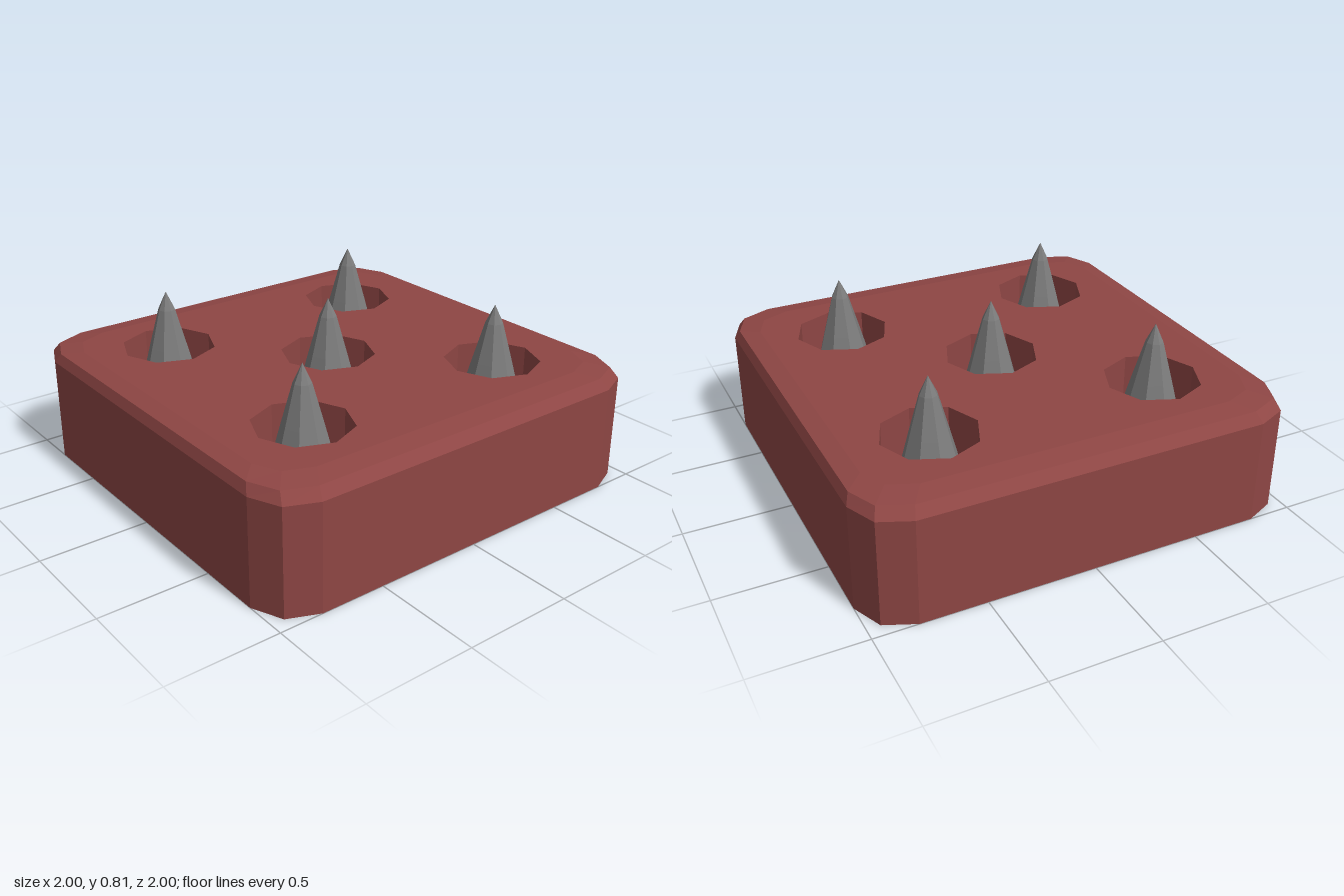
import * as THREE from 'three';

const HOLE_R = 0.22, TOP_Y = 0.55, FLOOR_Y = 0.1;

// Quarter outline with a two-facet corner, repeated by quarter turns
const outline = [];
for (let q = 0; q < 4; q++) {
  for (const [x, y] of [[1, 0.8], [0.94, 0.94], [0.8, 1]]) {
    const p = new THREE.Vector2(x, y);
    for (let k = 0; k < q; k++) p.set(-p.y, p.x);
    outline.push(p);
  }
}

// Levels of the slab: height, x scale, z scale
const levels = [[0, 1, 1], [0.49, 1, 1], [0.535, 0.98, 0.96], [TOP_Y, 0.9, 0.86]];

const spots = [[0, 0]];
for (const sx of [-1, 1]) for (const sz of [-1, 1]) spots.push([sx * 0.54, sz * 0.53]);

// Side wall and rounded upper edge
function sideGeometry() {
  const pos = [];
  const at = ([y, sx, sz], i) => {
    const p = outline[i % outline.length];
    return [p.x * sx, y, -p.y * sz];
  };
  for (let l = 0; l < levels.length - 1; l++) {
    for (let i = 0; i < outline.length; i++) {
      const a = at(levels[l], i), b = at(levels[l], i + 1);
      const c = at(levels[l + 1], i + 1), d = at(levels[l + 1], i);
      pos.push(...a, ...b, ...c, ...a, ...c, ...d);
    }
  }
  const g = new THREE.BufferGeometry();
  g.setAttribute('position', new THREE.Float32BufferAttribute(pos, 3));
  g.computeVertexNormals();
  return g;
}

// Top face with octagonal openings
function topGeometry() {
  const [y, sx, sz] = levels[levels.length - 1];
  const shape = new THREE.Shape(outline.map(p => new THREE.Vector2(p.x * sx, p.y * sz)));
  for (const [x, z] of spots) {
    const pts = [];
    for (let k = 0; k < 8; k++) {
      const a = -k * Math.PI / 4;
      pts.push(new THREE.Vector2(x + HOLE_R * Math.cos(a), -z + HOLE_R * Math.sin(a)));
    }
    shape.holes.push(new THREE.Path(pts));
  }
  return new THREE.ShapeGeometry(shape).rotateX(-Math.PI / 2).translate(0, y, 0);
}

const lathe = points => new THREE.LatheGeometry(points.map(p => new THREE.Vector2(...p)), 8);

export function createModel() {
  const red = new THREE.MeshStandardMaterial({ color: 0x8e4644, flatShading: true });
  const steel = new THREE.MeshStandardMaterial({ color: 0x7c7c7c, flatShading: true });
  const model = new THREE.Group();
  model.name = 'spikeTrap';
  const add = (name, geometry, material, x = 0, z = 0) => {
    const mesh = new THREE.Mesh(geometry, material);
    mesh.name = name;
    mesh.position.set(x, 0, z);
    model.add(mesh);
  };

  // Slab
  add('slabSides', sideGeometry(), red);
  add('slabTop', topGeometry(), red);
  add('slabBottom', new THREE.ShapeGeometry(new THREE.Shape(outline)).rotateX(Math.PI / 2), red);

  // Pits (wall and floor) with a spike standing in each
  const pit = lathe([[HOLE_R, TOP_Y], [HOLE_R, FLOOR_Y], [0, FLOOR_Y]]);
  const spike = lathe([[0.21, FLOOR_Y], [0.09, TOP_Y], [0.04, 0.73], [0, 0.815]]);
  for (const [x, z] of spots) {
    add('pit', pit, red, x, z);
    add('spike', spike, steel, x, z);
  }
  return model;
}
